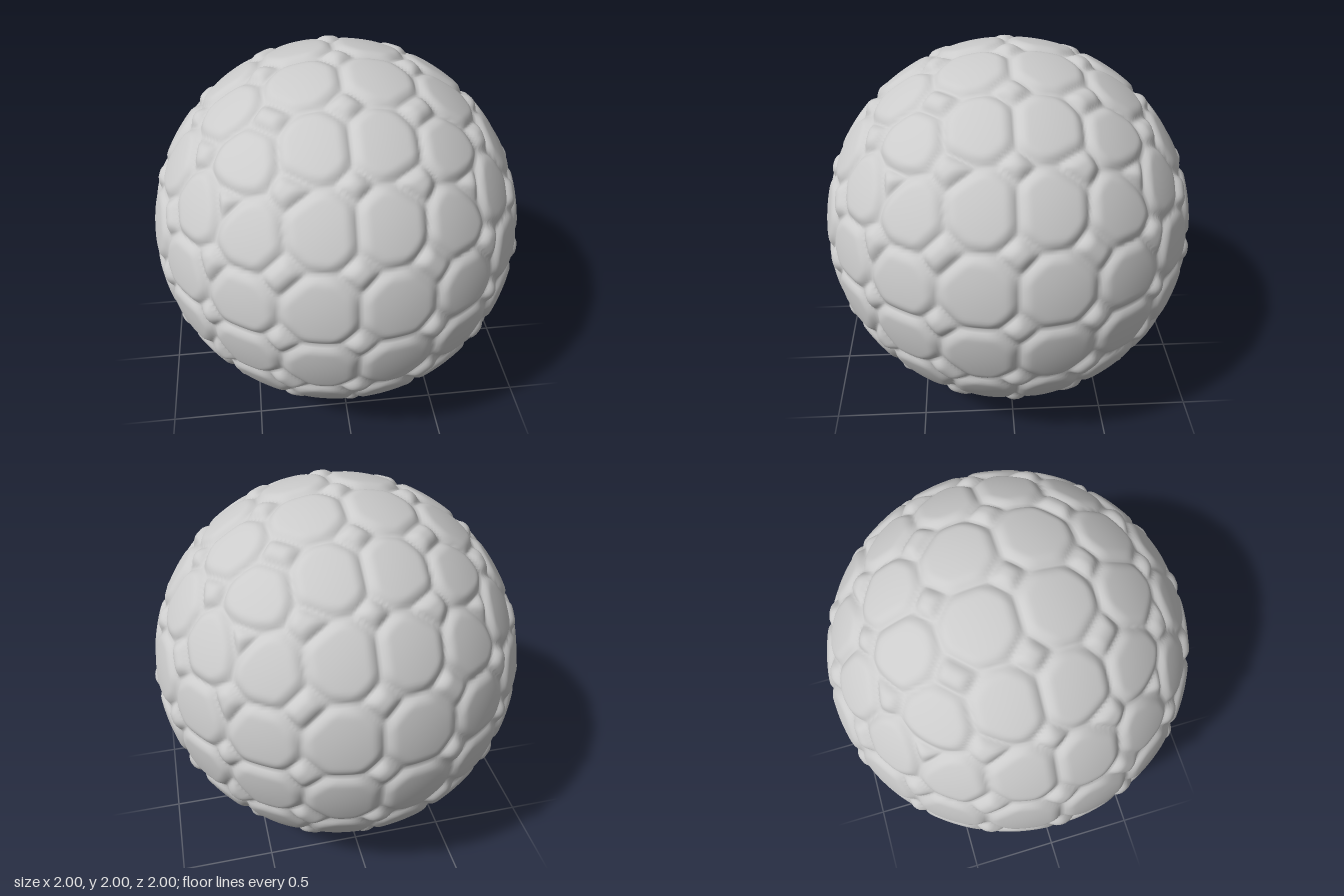
import * as THREE from 'three';
import { mergeVertices } from 'three/addons/utils/BufferGeometryUtils.js';

const CELLS = 4;        // stones per cube face, along each side
const DETAIL = 96;      // mesh segments per cube face
const BEVEL = 0.06;     // width of the rounded rim of a stone
const GROOVE_R = 0.966; // radius at the bottom of the joints
const LARGE_R = 0.991;  // top of the large stones
const SMALL_R = 1.0;    // top of the small stones

// Cube surface point to unit sphere, with equal angles between grid lines
const toSphere = (p) => {
  const warp = (t) => Math.tan((t * Math.PI) / 4);
  return p.set(warp(p.x), warp(p.y), warp(p.z)).normalize();
};

function cubeGrid(segments) {
  const box = new THREE.BoxGeometry(2, 2, 2, segments, segments, segments);
  box.deleteAttribute('uv');
  box.deleteAttribute('normal');
  box.clearGroups();
  return mergeVertices(box, 1e-4);
}

// Large stones sit in the grid squares, small ones on the grid crossings
function makeStones() {
  const grid = cubeGrid(CELLS);
  const pos = grid.attributes.position;
  const at = (i) => new THREE.Vector3().fromBufferAttribute(pos, i);
  const large = [];
  const small = [];
  for (let i = 0; i < grid.index.count; i += 6) {
    const centre = at(grid.index.getX(i + 1)).add(at(grid.index.getX(i + 2))).multiplyScalar(0.5);
    large.push({ c: toSphere(centre), weight: 0, top: LARGE_R });
  }
  for (let i = 0; i < pos.count; i++) {
    const c = toSphere(at(i));
    const gap2 = Math.min(...large.map((s) => s.c.distanceToSquared(c)));
    small.push({ c, weight: 0.5 * gap2, top: SMALL_R });
  }
  return [...large, ...small];
}

// Radius of the surface along direction p: a plateau with a rounded rim per stone
function radiusAt(p, stones) {
  const power = stones.map((s) => s.c.distanceToSquared(p) + s.weight);
  let own = 0;
  power.forEach((v, i) => { if (v < power[own]) own = i; });
  let rise = 1;
  stones.forEach((s, i) => {
    if (i === own) return;
    const edge = (power[i] - power[own]) / (2 * s.c.distanceTo(stones[own].c));
    if (edge < BEVEL) rise *= 1 - (1 - edge / BEVEL) ** 2;
  });
  return GROOVE_R + (stones[own].top - GROOVE_R) * rise;
}

export function createModel() {
  const stones = makeStones();
  const geometry = cubeGrid(DETAIL);
  const pos = geometry.attributes.position;
  const p = new THREE.Vector3();
  for (let i = 0; i < pos.count; i++) {
    toSphere(p.fromBufferAttribute(pos, i));
    p.multiplyScalar(radiusAt(p, stones));
    pos.setXYZ(i, p.x, p.y + 1, p.z);
  }
  geometry.computeVertexNormals();

  const ball = new THREE.Mesh(geometry, new THREE.MeshStandardMaterial({ color: 0xcccccc }));
  ball.name = 'cobbledSphere';
  const model = new THREE.Group();
  model.name = 'cobblestoneBall';
  model.add(ball);
  return model;
}
